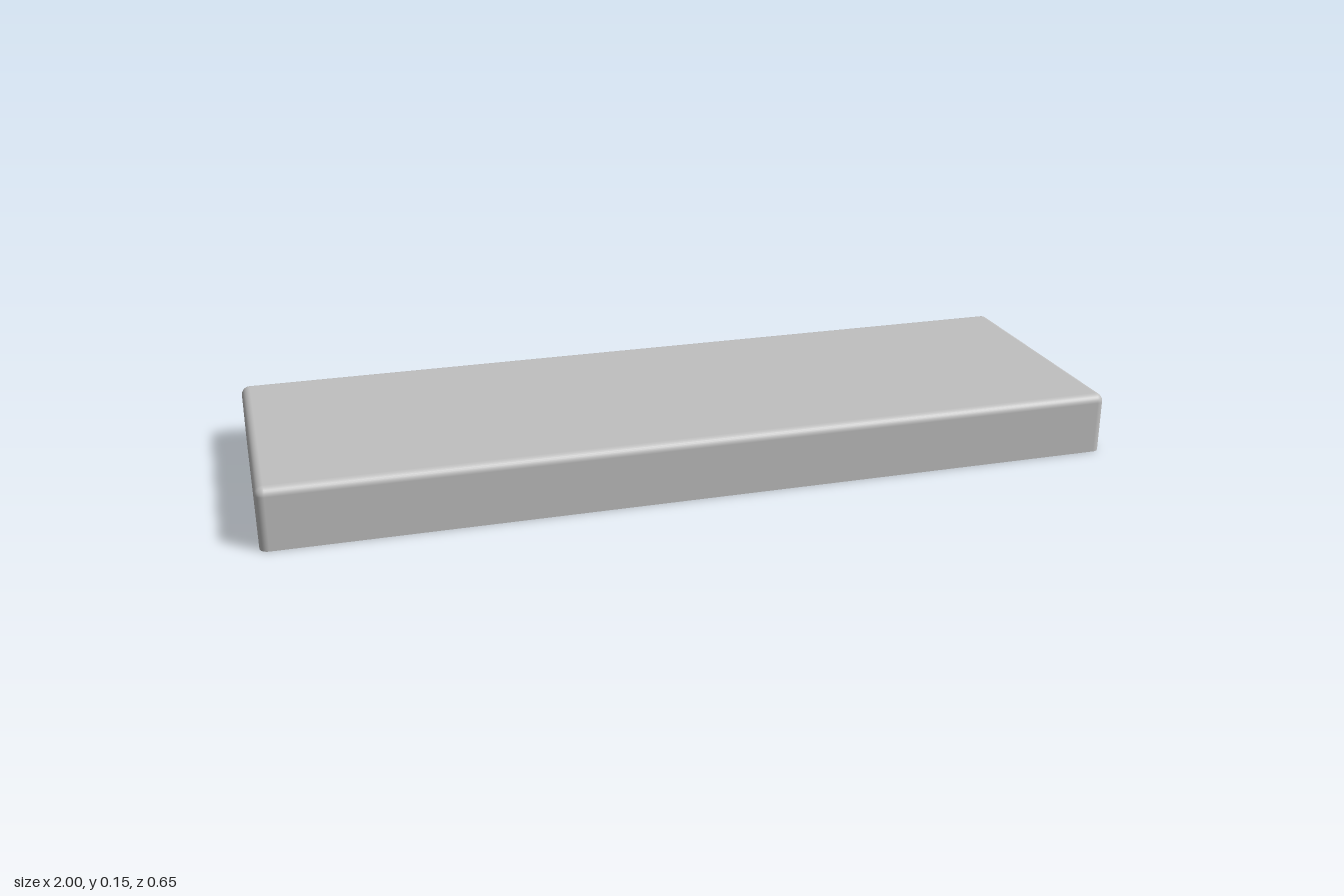
import * as THREE from 'three';
import { mergeGeometries } from 'three/addons/utils/BufferGeometryUtils.js';

const HX = 1, HZ = 0.324, H = 0.146;      // outer half sizes and height
const R = 0.02, T = 0.031;                // edge radius, wall thickness
const CEIL = 0.1, POCKET = 0.133;         // underside and pocket floor heights
const PITCH = 0.1107, ROW = PITCH * Math.sqrt(3) / 2, HEX = 0.045;
const LIMX = 0.84, LIMZ = 0.16;           // edges of the honeycomb field

// Rounded-rectangle strips; each row is [inset, y, outward normal, upward normal]
function loft(rows, minRadius) {
  const n = 8, pos = [], nor = [], index = [], count = 4 * (n + 1);
  for (const [inset, y, no, nu] of rows) {
    const r = Math.max(R - inset, minRadius);
    for (let k = 0; k < 4; k++) {
      const sx = k === 0 || k === 3 ? 1 : -1, sz = k < 2 ? 1 : -1;
      for (let i = 0; i <= n; i++) {
        const a = (k + i / n) * Math.PI / 2, c = Math.cos(a), s = Math.sin(a);
        pos.push(sx * (HX - inset - r) + r * c, y, sz * (HZ - inset - r) + r * s);
        nor.push(no * c, nu, no * s);
      }
    }
  }
  for (let i = 0; i < rows.length - 1; i++) {
    if (rows[i][0] === rows[i + 1][0] && rows[i][1] === rows[i + 1][1]) continue;
    for (let j = 0; j < count; j++) {
      const p = i * count + j, q = i * count + (j + 1) % count;
      index.push(p, p + count, q, q, p + count, q + count);
    }
  }
  const g = new THREE.BufferGeometry();
  g.setAttribute('position', new THREE.Float32BufferAttribute(pos, 3));
  g.setAttribute('normal', new THREE.Float32BufferAttribute(nor, 3));
  g.setIndex(index);
  return g;
}

// Keep the part of a polygon where sign * p[axis] <= limit
function clip(poly, axis, sign, limit) {
  const out = [];
  poly.forEach((a, i) => {
    const b = poly[(i + 1) % poly.length];
    const da = limit - sign * a[axis], db = limit - sign * b[axis];
    if (da >= 0) out.push(a);
    if (da * db < 0) out.push(a.clone().lerp(b, da / (da - db)));
  });
  return out;
}

// Staggered hexagons, trimmed to the field
function honeycomb() {
  const cells = [];
  for (let row = -2; row <= 2; row++) {
    for (let col = -8; col <= 8; col++) {
      const cx = (col + (row % 2 ? 0 : 0.5)) * PITCH;
      let poly = [];
      for (let i = 0; i < 6; i++) {
        const a = (i + 0.5) * Math.PI / 3;
        poly.push(new THREE.Vector2(cx + HEX * Math.cos(a), row * ROW + HEX * Math.sin(a)));
      }
      for (const s of [1, -1]) poly = clip(clip(poly, 'x', s, LIMX), 'y', s, LIMZ);
      if (poly.length > 2) cells.push(poly);
    }
  }
  return cells;
}

// Inward-facing walls of one pocket
function pocketWalls(poly) {
  const pos = [];
  poly.forEach((a, i) => {
    const b = poly[(i + 1) % poly.length];
    pos.push(a.x, CEIL, a.y, b.x, CEIL, b.y, b.x, POCKET, b.y);
    pos.push(a.x, CEIL, a.y, b.x, POCKET, b.y, a.x, POCKET, a.y);
  });
  const g = new THREE.BufferGeometry();
  g.setAttribute('position', new THREE.Float32BufferAttribute(pos, 3));
  g.computeVertexNormals();
  return g;
}

// Flat shape facing down at height y
const faceDown = (shape, y) => new THREE.ShapeGeometry(shape).rotateX(Math.PI / 2).translate(0, y, 0);

export function createModel() {
  const group = new THREE.Group();
  const grey = new THREE.MeshStandardMaterial({ color: 0xbfbfbf });
  grey.name = 'grey';
  const add = (name, geometry) => {
    const mesh = new THREE.Mesh(geometry, grey);
    mesh.name = name;
    group.add(mesh);
    return mesh;
  };

  // Outer wall with rounded top edge
  const outer = [[0, 0, 1, 0]];
  for (let i = 0; i <= 8; i++) {
    const a = i / 8 * Math.PI / 2, c = Math.cos(a), s = Math.sin(a);
    outer.push([R * (1 - c), H - R + R * s, c, s]);
  }
  add('outerShell', loft(outer, 0));
  add('topFace', new THREE.PlaneGeometry(2 * (HX - R), 2 * (HZ - R)).rotateX(-Math.PI / 2).translate(0, H, 0));

  // Inner wall and bottom rim
  add('innerWallAndRim', loft([[T, CEIL, -1, 0], [T, 0, -1, 0], [T, 0, 0, -1], [0, 0, 0, -1]], 0.003));

  // Underside with honeycomb pockets
  const cells = honeycomb();
  const x = HX - T, z = HZ - T;
  const plate = new THREE.Shape([[-x, -z], [x, -z], [x, z], [-x, z]].map(p => new THREE.Vector2(...p)));
  plate.holes = cells.map(c => new THREE.Path(c));
  add('underside', faceDown(plate, CEIL));
  add('pocketWalls', mergeGeometries(cells.map(pocketWalls)));
  add('pocketFloors', mergeGeometries(cells.map(c => faceDown(new THREE.Shape(c), POCKET))));

  // Snap bumps on the long inner walls
  for (const sx of [-1, 1]) for (const sz of [-1, 1]) {
    add('snapBump', new THREE.SphereGeometry(0.018, 20, 14)).position.set(sx * 0.592, 0.05, sz * z);
  }
  return group;
}
